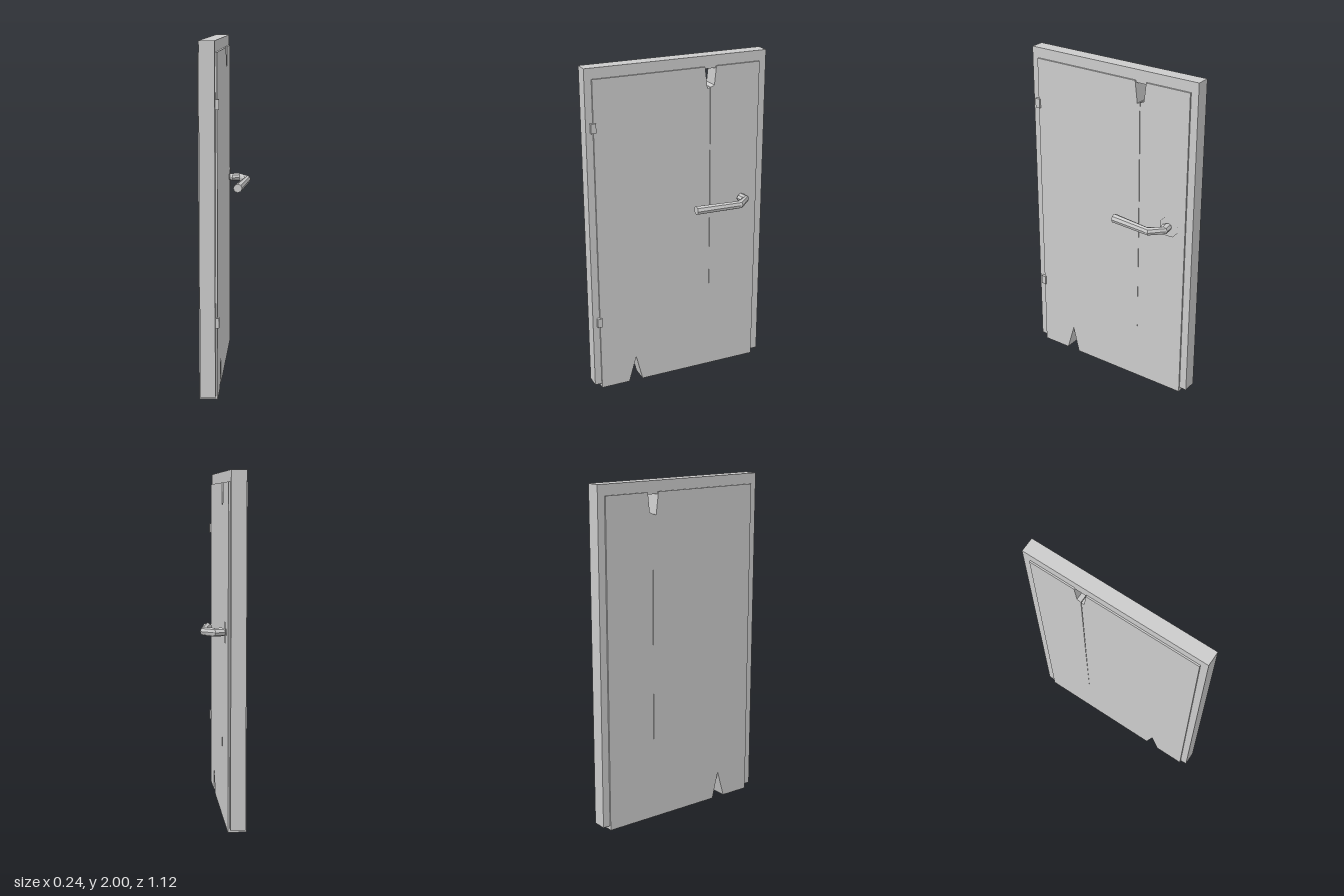
import * as THREE from 'three';

const grey = new THREE.MeshStandardMaterial({ color: 0xcccccc, flatShading: true, side: THREE.DoubleSide });

function add(group, name, geometry, x = 0, y = 0, z = 0) {
  const mesh = new THREE.Mesh(geometry, grey);
  mesh.name = name;
  mesh.position.set(x, y, z);
  group.add(mesh);
  return mesh;
}

// Extrudes a (z, y) outline along -x
function slab(outline, depth) {
  const shape = new THREE.Shape(outline.map(([z, y]) => new THREE.Vector2(z, y)));
  return new THREE.ExtrudeGeometry(shape, { depth, bevelEnabled: false }).rotateY(-Math.PI / 2);
}

// Lofts oval rings; each section is [outer x, outer z, inner x, inner z, y, half height]
function loft(sections, sides) {
  const points = [], index = [];
  for (const [ax, az, bx, bz, y, h] of sections) {
    for (let j = 0; j < sides; j++) {
      const a = (j / sides) * Math.PI * 2, c = Math.cos(a) / 2;
      points.push((ax + bx) / 2 + c * (ax - bx), y + Math.sin(a) * h, (az + bz) / 2 + c * (az - bz));
    }
  }
  const last = (sections.length - 1) * sides;
  for (let j = 0; j < sides; j++) {
    const k = (j + 1) % sides;
    for (let i = 0; i < last; i += sides) {
      index.push(i + j, i + k, i + sides + k, i + j, i + sides + k, i + sides + j);
    }
    // End caps as fans
    if (j > 0 && j < sides - 1) index.push(0, k, j, last, last + j, last + k);
  }
  const geometry = new THREE.BufferGeometry();
  geometry.setAttribute('position', new THREE.Float32BufferAttribute(points, 3));
  geometry.setIndex(index);
  const flat = geometry.toNonIndexed();
  flat.computeVertexNormals();
  return flat;
}

export function createModel() {
  const door = new THREE.Group();
  door.name = 'door';

  // Frame: two jambs and a lintel, open at the bottom
  add(door, 'frame', slab([
    [-0.56, 0.025], [-0.51, 0.025], [-0.51, 1.925], [0.51, 1.925],
    [0.51, 0.025], [0.56, 0.025], [0.56, 2], [-0.56, 2],
  ], 0.085), -0.03);

  // Leaf: broken wedge at the bottom, chipped top with a hairline split running down
  add(door, 'leaf', slab([
    [-0.515, 0], [0.25, 0], [0.29, 0.165], [0.338, 0], [0.518, 0], [0.518, 1.938],
    [-0.164, 1.938], [-0.18, 1.81], [-0.197, 1.817], [-0.201, 1.1], [-0.203, 0.33],
    [-0.204, 1.1], [-0.2, 1.817], [-0.224, 1.827], [-0.236, 1.938], [-0.515, 1.938],
  ], 0.104), -0.02);

  // Hinges
  for (const y of [0.452, 1.663]) {
    add(door, 'hinge', new THREE.BoxGeometry(0.024, 0.056, 0.03), -0.022, y, 0.52);
  }

  // Lever handle with its thin rose
  const handle = new THREE.Group();
  handle.name = 'handle';
  door.add(handle);
  const rose = new THREE.CircleGeometry(0.064, 8).rotateZ(Math.PI / 8).rotateY(Math.PI / 2);
  add(handle, 'rose', rose, -0.013, 1.115, -0.412);
  add(handle, 'lever', loft([
    [-0.021, -0.43, -0.021, -0.40, 1.117, 0.018],
    [0.005, -0.434, 0.005, -0.372, 1.117, 0.024],
    [0.042, -0.437, 0.05, -0.385, 1.117, 0.024],
    [0.12, -0.355, 0.08, -0.325, 1.114, 0.024],
    [0.082, -0.078, 0.028, -0.078, 1.103, 0.027],
  ], 8), 0, 0, 0);

  return door;
}
